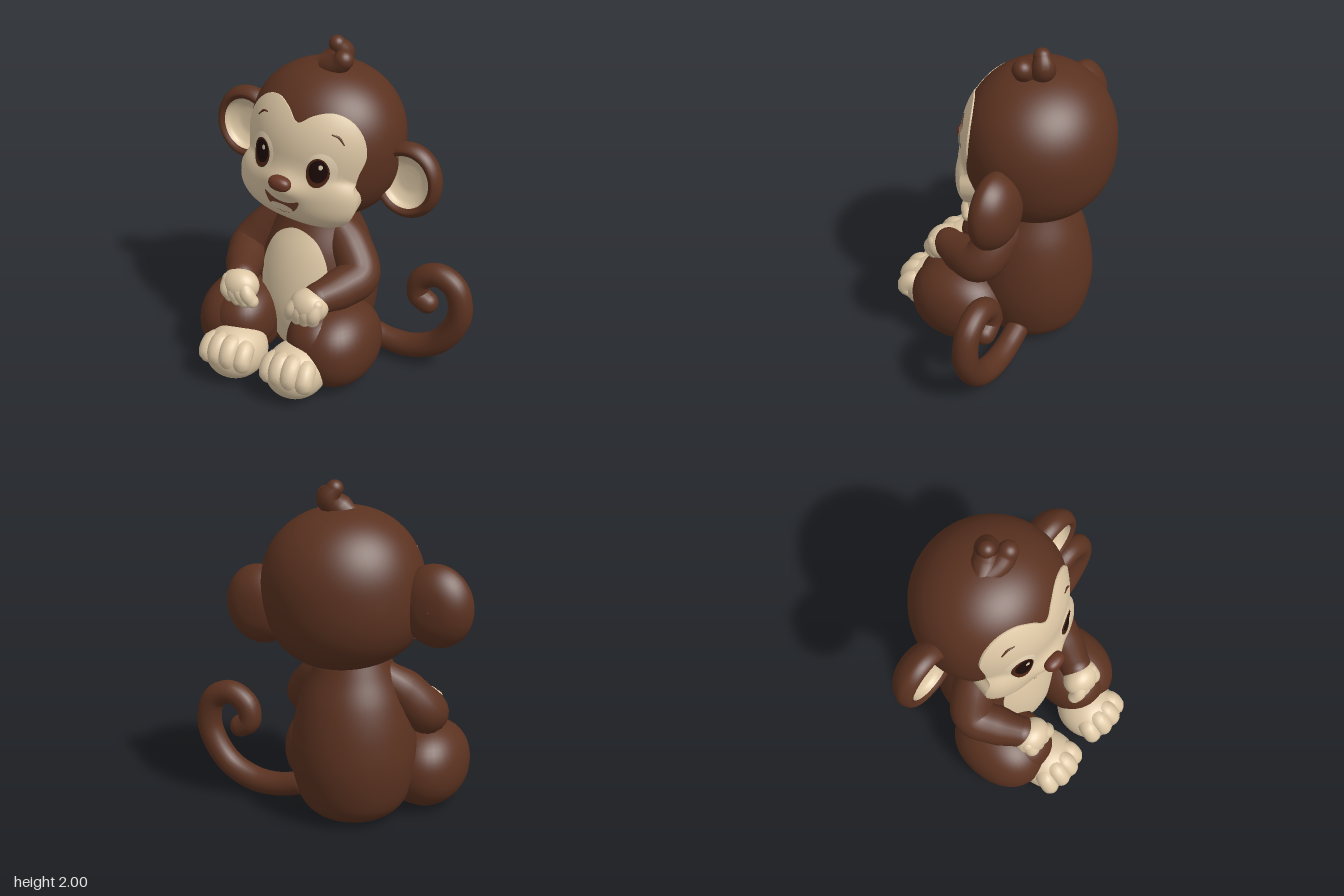
import * as THREE from 'three';
import { mergeGeometries, mergeVertices } from 'three/addons/utils/BufferGeometryUtils.js';

const paint = (name, color) => Object.assign(new THREE.MeshStandardMaterial({ color }), { name });
const V = (p) => new THREE.Vector3(...p);

export function createModel() {
  const fur = paint('brown fur', 0x5b3220);
  const skin = paint('cream skin', 0xdcc6a4);
  const eyeWhite = paint('eye white', 0xe0cdae);
  const iris = paint('iris brown', 0x4a2212);
  const pupil = paint('pupil black', 0x1c0b09);
  const noseBrown = paint('nose brown', 0x673524);
  const mouthBrown = paint('mouth brown', 0x74422e);

  const model = new THREE.Group();
  model.name = 'monkey';
  const add = (parent, name, geo, mat) => {
    const mesh = new THREE.Mesh(geo, mat);
    mesh.name = name;
    parent.add(mesh);
    return mesh;
  };

  // Joins coincident vertices and smooths the normals
  const weld = (g) => {
    g.deleteAttribute('uv');
    g.deleteAttribute('normal');
    const w = mergeVertices(g, 1e-5);
    w.computeVertexNormals();
    return w;
  };

  // Rounded blob: a sphere squared off by the exponent p, then scaled
  const blob = (pos, radii, p = 2) => {
    const g = new THREE.SphereGeometry(1, 40, 28);
    const a = g.attributes.position, v = new THREE.Vector3();
    for (let i = 0; i < a.count; i++) {
      v.fromBufferAttribute(a, i);
      const n = Math.abs(v.x) ** p + Math.abs(v.y) ** p + Math.abs(v.z) ** p;
      v.multiplyScalar(n ** (-1 / p));
      a.setXYZ(i, v.x, v.y, v.z);
    }
    return weld(g.scale(...radii).translate(...pos));
  };

  // Tube along a curve with changing radius and round ends
  const limb = (points, radii, steps = 32) => {
    const curve = new THREE.CatmullRomCurve3(points.map(V));
    const sides = 20;
    const tube = new THREE.TubeGeometry(curve, steps, 1, sides);
    const a = tube.attributes.position, v = new THREE.Vector3();
    const radiusAt = (u) => {
      const f = u * (radii.length - 1), i = Math.min(Math.floor(f), radii.length - 2);
      return THREE.MathUtils.lerp(radii[i], radii[i + 1], THREE.MathUtils.smoothstep(f - i, 0, 1));
    };
    for (let i = 0; i < a.count; i++) {
      const u = Math.floor(i / (sides + 1)) / steps, c = curve.getPointAt(u);
      v.fromBufferAttribute(a, i).sub(c).multiplyScalar(radiusAt(u)).add(c);
      a.setXYZ(i, v.x, v.y, v.z);
    }
    const cap = (u) => new THREE.SphereGeometry(radiusAt(u), 20, 14).translate(...curve.getPointAt(u));
    return mergeGeometries([tube, cap(0), cap(1)]);
  };

  // Closed outlines, clockwise from the top
  const mirrored = (half) => [...half, ...half.slice(1, -1).reverse().map(([x, y]) => [-x, y])];
  const oval = (cx, cy, rx, ry) => Array.from({ length: 16 }, (_, i) => {
    const t = (i / 16) * Math.PI * 2;
    return [cx + rx * Math.sin(t), cy + ry * Math.cos(t)];
  });

  // Sheet filling an outline and following the height rule zAt(x, y)
  const patch = (outline, [cx, cy], zAt, skirt = 0, rings = 10, N = 64) => {
    const rim = new THREE.CatmullRomCurve3(outline.map(([x, y]) => V([x, y, 0])), true).getPoints(N);
    const pos = [], index = [];
    const last = rings + (skirt ? 1 : 0);
    for (let k = 0; k <= last; k++) {
      const t = k > rings ? 0.9 : Math.sin((k / rings) * Math.PI / 2);
      for (let i = 0; i < N; i++) {
        const x = cx + (rim[i].x - cx) * t, y = cy + (rim[i].y - cy) * t;
        pos.push(x, y, k > rings ? zAt(rim[i].x, rim[i].y) - skirt : zAt(x, y));
        if (k === last) continue;
        const a = k * N + i, b = k * N + (i + 1) % N;
        index.push(a, b + N, a + N, a, b, b + N);
      }
    }
    const g = new THREE.BufferGeometry();
    g.setAttribute('position', new THREE.Float32BufferAttribute(pos, 3));
    g.setIndex(index);
    return weld(g);
  };

  // Torso: pear-shaped lathe
  const torso = new THREE.Group();
  torso.name = 'torso';
  torso.position.set(-0.145, 0, -0.16);
  model.add(torso);
  const pear = new THREE.SplineCurve([[0.001, 0.005], [0.16, 0.012], [0.255, 0.05], [0.325, 0.15], [0.366, 0.35],
    [0.355, 0.55], [0.31, 0.74], [0.24, 0.9], [0.19, 1.02]].map((p) => new THREE.Vector2(...p))).getPoints(64);
  add(torso, 'body', new THREE.LatheGeometry(pear, 56), fur);
  const torsoZ = (x, y) => {
    const i = Math.max(1, pear.findIndex((p) => p.y > y)), a = pear[i - 1], b = pear[i];
    const r = THREE.MathUtils.lerp(a.x, b.x, (y - a.y) / (b.y - a.y));
    return Math.sqrt(Math.max(0, r * r - x * x)) + 0.007;
  };
  const bellyHalf = [[0, 0.89], [0.12, 0.84], [0.195, 0.73], [0.225, 0.6], [0.21, 0.45], [0.15, 0.28], [0.07, 0.13], [0, 0.08]];
  add(torso, 'belly', patch(mirrored(bellyHalf), [0, 0.5], torsoZ, 0.03, 16, 72), skin);

  // Arms, hands, legs and feet, mirrored about the body axis
  const join = (list) => mergeGeometries(list.map((g) => {
    const flat = g.toNonIndexed();
    flat.deleteAttribute('uv');
    return flat;
  }));
  for (const s of [1, -1]) {
    const side = s > 0 ? 'left' : 'right';
    const at = (dx, y, z) => [-0.15 + s * dx, y, z];
    add(model, side + 'Arm', limb([at(0.16, 0.865, -0.12), at(0.27, 0.775, -0.08), at(0.375, 0.64, 0),
      at(0.33, 0.6, 0.14), at(0.265, 0.585, 0.28)], [0.1, 0.13, 0.13, 0.12, 0.095]), fur);
    add(model, side + 'Leg', join([blob(at(0.33, 0.255, 0.165), [0.242, 0.253, 0.307], 2.18),
      blob(at(0.255, 0.3, 0.23), [0.18, 0.2, 0.235], 2.3)]), fur);
    const hand = [blob(at(0.238, 0.56, 0.335), [0.118, 0.102, 0.095])];
    const foot = [blob(at(0.21, 0.172, 0.435), [0.18, 0.167, 0.195], 2.1)];
    for (const k of [-1.5, -0.5, 0.5, 1.5]) {
      const bend = 0.013 * k * k;
      hand.push(limb([at(0.25 + 0.035 * k, 0.59, 0.36), at(0.228 + 0.046 * k, 0.54, 0.387),
        at(0.208 + 0.05 * k, 0.478 + bend * 0.5, 0.375)], [0.042, 0.046, 0.04], 10));
      foot.push(limb([at(0.21 + 0.05 * k, 0.25 - bend, 0.46), at(0.212 + 0.073 * k, 0.27 - bend, 0.545 - bend),
        at(0.213 + 0.08 * k, 0.21 - bend, 0.592 - bend), at(0.212 + 0.07 * k, 0.13, 0.555 - bend)],
      [0.05, 0.06, 0.056, 0.045], 14));
    }
    add(model, side + 'Hand', join(hand), skin);
    add(model, side + 'Foot', join(foot), skin);
  }

  // Curled tail
  add(model, 'tail', limb([[0.18, 0.14, -0.22], [0.32, 0.105, -0.22], [0.49, 0.11, -0.22], [0.67, 0.2, -0.22],
    [0.79, 0.41, -0.22], [0.755, 0.59, -0.22], [0.64, 0.645, -0.22], [0.53, 0.585, -0.22], [0.515, 0.48, -0.22],
    [0.575, 0.44, -0.22]], [0.07, 0.075, 0.075, 0.072, 0.068], 80), fur);

  // Hair tufts
  add(model, 'tallTuft', limb([[-0.15, 1.8, -0.2], [-0.07, 1.85, -0.23], [-0.035, 1.9, -0.255], [-0.06, 1.95, -0.235]],
    [0.055, 0.08, 0.072, 0.049]), fur);
  add(model, 'shortTuft', limb([[-0.13, 1.81, -0.18], [-0.05, 1.84, -0.16], [0.005, 1.87, -0.16], [0.025, 1.89, -0.16]],
    [0.045, 0.065, 0.065, 0.058]), fur);

  // Head, tilted to one side, flatter in front than behind
  const head = new THREE.Group();
  head.name = 'head';
  head.position.set(-0.1, 1.4, -0.2);
  head.rotation.z = -0.115;
  model.add(head);
  const A = 0.468, TOP = 0.45, BOTTOM = 0.464, BACK = 0.45, FRONT = 0.42;
  const rho = (y) => {
    const p = y > 0 ? 2.15 : 2.45;
    return Math.max(0, 1 - Math.abs(y / (y > 0 ? TOP : BOTTOM)) ** p) ** (1 / p);
  };
  const profile = Array.from({ length: 49 }, (_, i) => {
    const t = Math.sin((i / 48 - 0.5) * Math.PI), y = t * (t > 0 ? TOP : BOTTOM);
    return new THREE.Vector2(Math.max(1e-4, A * rho(y)), y);
  });
  const skull = new THREE.LatheGeometry(profile, 64);
  const sp = skull.attributes.position;
  for (let i = 0; i < sp.count; i++) sp.setZ(i, sp.getZ(i) * (sp.getZ(i) > 0 ? FRONT : BACK) / A);
  add(head, 'skull', weld(skull), fur);

  // Face mask: skull surface blended with a full muzzle and a snout bump
  const faceZ = (x, y) => {
    const h = FRONT * Math.sqrt(Math.max(0, rho(y) ** 2 - (x / A) ** 2));
    const q = Math.abs(x / 0.405) ** 2.4 + Math.abs((y + 0.226) / 0.226) ** 2.4;
    const m = 0.215 + 0.215 * Math.max(0, 1 - q) ** (1 / 2.4);
    const bump = 0.055 * Math.exp(-((x / 0.12) ** 2) - ((y + 0.165) / 0.08) ** 2);
    return 0.5 * (h + m + Math.hypot(h - m, 0.025)) + 0.007 + bump;
  };
  const faceHalf = [[0, 0.217], [0.08, 0.27], [0.17, 0.297], [0.27, 0.268], [0.35, 0.185], [0.385, 0.07], [0.362, -0.05],
    [0.357, -0.11], [0.385, -0.19], [0.382, -0.27], [0.33, -0.36], [0.2, -0.425], [0, -0.445]];
  add(head, 'face', patch(mirrored(faceHalf), [0, -0.05], faceZ, 0.2, 36, 144), skin);

  // Nose and open smile
  add(head, 'nose', blob([-0.015, -0.132, 0.488], [0.069, 0.043, 0.045], 2.3), noseBrown);
  const lift = (d, z = faceZ) => (x, y) => z(x, y) + d;
  const mouthHalf = [[0, -0.262], [0.06, -0.252], [0.115, -0.23], [0.1, -0.28], [0.06, -0.325], [0, -0.342]];
  const shift = (pts) => pts.map(([x, y]) => [x - 0.015, y]);
  add(head, 'mouth', patch(shift(mirrored(mouthHalf)), [-0.015, -0.295], lift(0.005)), mouthBrown);
  add(head, 'tongue', patch(oval(-0.014, -0.307, 0.074, 0.027), [-0.014, -0.307], lift(0.009)), skin);

  // Eyes, brows and ears
  for (const s of [1, -1]) {
    const side = s > 0 ? 'left' : 'right';
    const ex = s * 0.193 - 0.006, ey = -0.02, ix = s * 0.187 - 0.011;
    const eyeZ = (x, y) => faceZ(x, y) + 0.012 * Math.max(0, 1 - ((x - ex) / 0.09) ** 2 - ((y - ey) / 0.108) ** 2);
    const disc = (name, x, y, rx, ry, d, mat) =>
      add(head, side + name, patch(oval(x, y, rx, ry), [x, y], lift(d, eyeZ)), mat);
    disc('EyeWhite', ex, ey, 0.088, 0.106, 0.004, eyeWhite);
    disc('Iris', ix, -0.03, 0.064, 0.088, 0.007, iris);
    disc('Pupil', ix + 0.004, -0.018, 0.051, 0.069, 0.01, pupil);
    disc('Glint', ix + 0.018, 0.012, 0.012, 0.015, 0.013, eyeWhite);
    const brow = [[0.215, 0.196], [0.25, 0.185], [0.284, 0.148]].map(([x, y]) => [s * x - 0.006, y, faceZ(s * x - 0.006, y) + 0.001]);
    add(head, side + 'Brow', limb(brow, [0.004, 0.007, 0.004], 12), fur);

    const ear = new THREE.Group();
    ear.name = side + 'Ear';
    ear.position.set(s * 0.547, -0.114, -0.04);
    head.add(ear);
    const turn = (pts) => new THREE.LatheGeometry(
      new THREE.SplineCurve(pts.map((p) => new THREE.Vector2(...p))).getPoints(28), 48).rotateX(Math.PI / 2).scale(0.9, 1, 1);
    add(ear, side + 'EarShell', turn([[0.001, -0.105], [0.11, -0.093], [0.19, -0.048], [0.234, 0.02], [0.226, 0.07],
      [0.195, 0.098], [0.165, 0.08]]), fur);
    add(ear, side + 'InnerEar', turn([[0.165, 0.08], [0.15, 0.045], [0.1, 0.016], [0.05, 0.009], [0.001, 0.008]]), skin);
  }
  return model;
}
